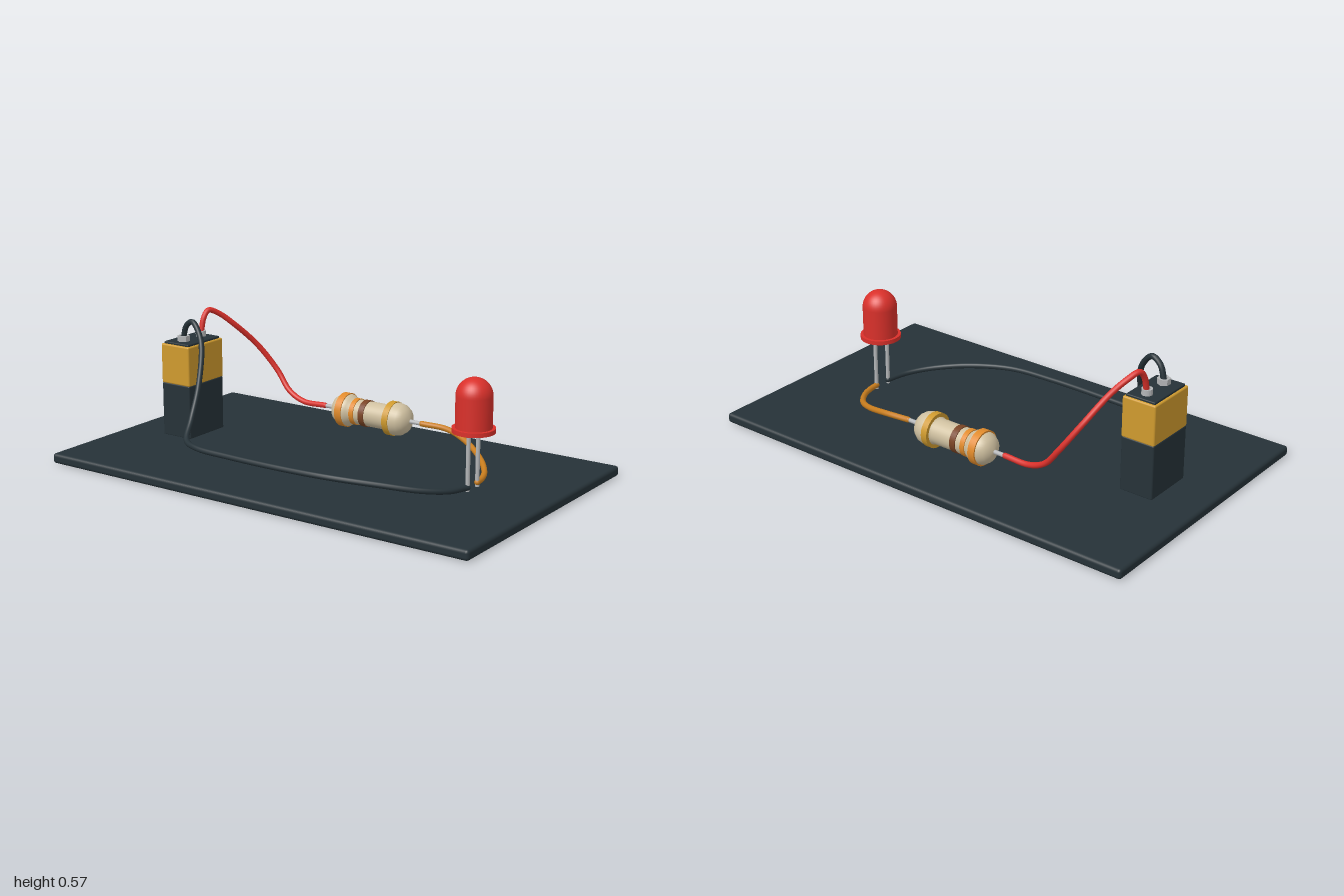
import * as THREE from 'three';
import { RoundedBoxGeometry } from 'three/addons/geometries/RoundedBoxGeometry.js';

const material = (name, color) => {
  const m = new THREE.MeshStandardMaterial({ color });
  m.name = name;
  return m;
};

export function createModel() {
  const dark = material('charcoal', 0x263238);
  const gold = material('battery gold', 0xcf9a2e);
  const red = material('red', 0xd9302a);
  const silver = material('silver', 0xb4b6b8);
  const beige = material('beige', 0xcfc0a0);
  const orange = material('band orange', 0xe08a2a);
  const brown = material('brown', 0x7a4424);
  const wireOrange = material('wire orange', 0xc87d1e);

  const model = new THREE.Group();
  model.name = 'ledCircuit';

  const group = (name, x, y, z) => {
    const g = new THREE.Group();
    g.name = name;
    g.position.set(x, y, z);
    model.add(g);
    return g;
  };
  const add = (parent, name, geometry, mat, x = 0, y = 0, z = 0) => {
    const mesh = new THREE.Mesh(geometry, mat);
    mesh.name = name;
    mesh.position.set(x, y, z);
    parent.add(mesh);
    return mesh;
  };
  const lathe = (points, segments = 40) =>
    new THREE.LatheGeometry(points.map(([r, y]) => new THREE.Vector2(r, y)), segments);
  const wire = (name, mat, points) => {
    const curve = new THREE.CatmullRomCurve3(points.map((p) => new THREE.Vector3(...p)));
    add(model, name, new THREE.TubeGeometry(curve, 120, 0.012, 12), mat);
    // Rounded wire tips
    for (const p of [points[0], points[points.length - 1]])
      add(model, name + 'Tip', new THREE.SphereGeometry(0.012, 12, 8), mat, ...p);
  };

  // Base board
  add(model, 'board', new RoundedBoxGeometry(2, 0.043, 1.2, 3, 0.014), dark, 0, 0.0215, 0);

  // Battery: dark lower body, gold upper body, inset top plate
  const battery = group('battery', -0.735, 0, 0);
  add(battery, 'lowerBody', new RoundedBoxGeometry(0.149, 0.235, 0.228, 3, 0.007), dark, 0, 0.157, 0);
  add(battery, 'upperBody', new RoundedBoxGeometry(0.15, 0.172, 0.23, 3, 0.007), gold, 0, 0.357, 0);
  add(battery, 'topPlate', new RoundedBoxGeometry(0.132, 0.014, 0.21, 2, 0.004), dark, 0, 0.445, 0);

  // Hollow snap terminals: round and hexagonal
  const terminal = (name, z, r, sides) => {
    const g = lathe([[r * 0.5, 0.456], [r, 0.45], [r, 0.476], [r * 0.62, 0.476], [r * 0.62, 0.458], [0, 0.458]], sides);
    const flat = g.toNonIndexed();
    flat.computeVertexNormals();
    add(battery, name, flat, silver, 0, 0, z);
  };
  terminal('positiveTerminal', -0.06, 0.022, 20);
  terminal('negativeTerminal', 0.055, 0.027, 6);

  // Light: flange, cylindrical body with dome, two legs
  const light = group('light', 0.663, 0, 0);
  add(light, 'flange', new THREE.CylinderGeometry(0.086, 0.086, 0.018, 40), red, 0, 0.283, 0);
  const dome = [[0.073, 0.285], [0.073, 0.418]];
  for (let i = 1; i <= 12; i++) {
    const a = (i / 12) * Math.PI / 2;
    dome.push([Math.max(0, 0.073 * Math.cos(a)), 0.418 + 0.073 * Math.sin(a)]);
  }
  add(light, 'bulb', lathe(dome), red);
  for (const side of [-1, 1])
    add(light, 'leg', new THREE.CylinderGeometry(0.0085, 0.0085, 0.235, 12), silver, 0, 0.16, side * 0.037);

  // Resistor, built upright and laid along x
  const resistor = group('resistor', -0.03, 0.152, -0.335);
  resistor.rotation.z = -Math.PI / 2;
  const half = [[0, 0.195], [0.028, 0.19], [0.051, 0.176], [0.065, 0.155], [0.07, 0.13], [0.069, 0.112], [0.063, 0.099], [0.056, 0.092], [0.054, 0.084]];
  const profile = [
    ...half.map(([r, y]) => [r, -y]),
    ...half.slice().reverse(),
  ];
  add(resistor, 'resistorBody', lathe(profile), beige);
  const band = (name, mat, r, from, to) =>
    add(resistor, name, new THREE.CylinderGeometry(r, r, to - from, 40), mat, 0, (from + to) / 2, 0);
  band('firstBand', orange, 0.073, -0.147, -0.115);
  band('secondBand', orange, 0.0575, -0.084, -0.062);
  band('thirdBand', brown, 0.0575, -0.037, -0.01);
  band('toleranceBand', gold, 0.073, 0.094, 0.122);
  for (const side of [-1, 1])
    add(resistor, 'lead', new THREE.CylinderGeometry(0.009, 0.009, 0.09, 12), silver, 0, side * 0.222, 0);

  // Wires
  wire('redWire', red, [
    [-0.735, 0.462, -0.062], [-0.733, 0.53, -0.08], [-0.727, 0.558, -0.105], [-0.705, 0.538, -0.15],
    [-0.665, 0.485, -0.205], [-0.61, 0.38, -0.3], [-0.54, 0.27, -0.346],
    [-0.47, 0.187, -0.341], [-0.39, 0.152, -0.336], [-0.275, 0.152, -0.335],
  ]);
  wire('orangeWire', wireOrange, [
    [0.22, 0.152, -0.335], [0.34, 0.147, -0.34], [0.455, 0.12, -0.305], [0.565, 0.085, -0.23],
    [0.632, 0.067, -0.145], [0.656, 0.061, -0.085], [0.663, 0.06, -0.037],
  ]);
  wire('blackWire', dark, [
    [-0.735, 0.462, 0.055], [-0.715, 0.52, 0.06], [-0.675, 0.545, 0.066], [-0.607, 0.475, 0.095],
    [-0.558, 0.31, 0.175], [-0.535, 0.185, 0.255], [-0.495, 0.122, 0.335],
    [-0.415, 0.112, 0.372], [-0.24, 0.11, 0.385], [0.03, 0.11, 0.388], [0.245, 0.109, 0.37],
    [0.43, 0.095, 0.3], [0.565, 0.075, 0.215], [0.635, 0.063, 0.13], [0.663, 0.058, 0.037],
  ]);

  return model;
}
